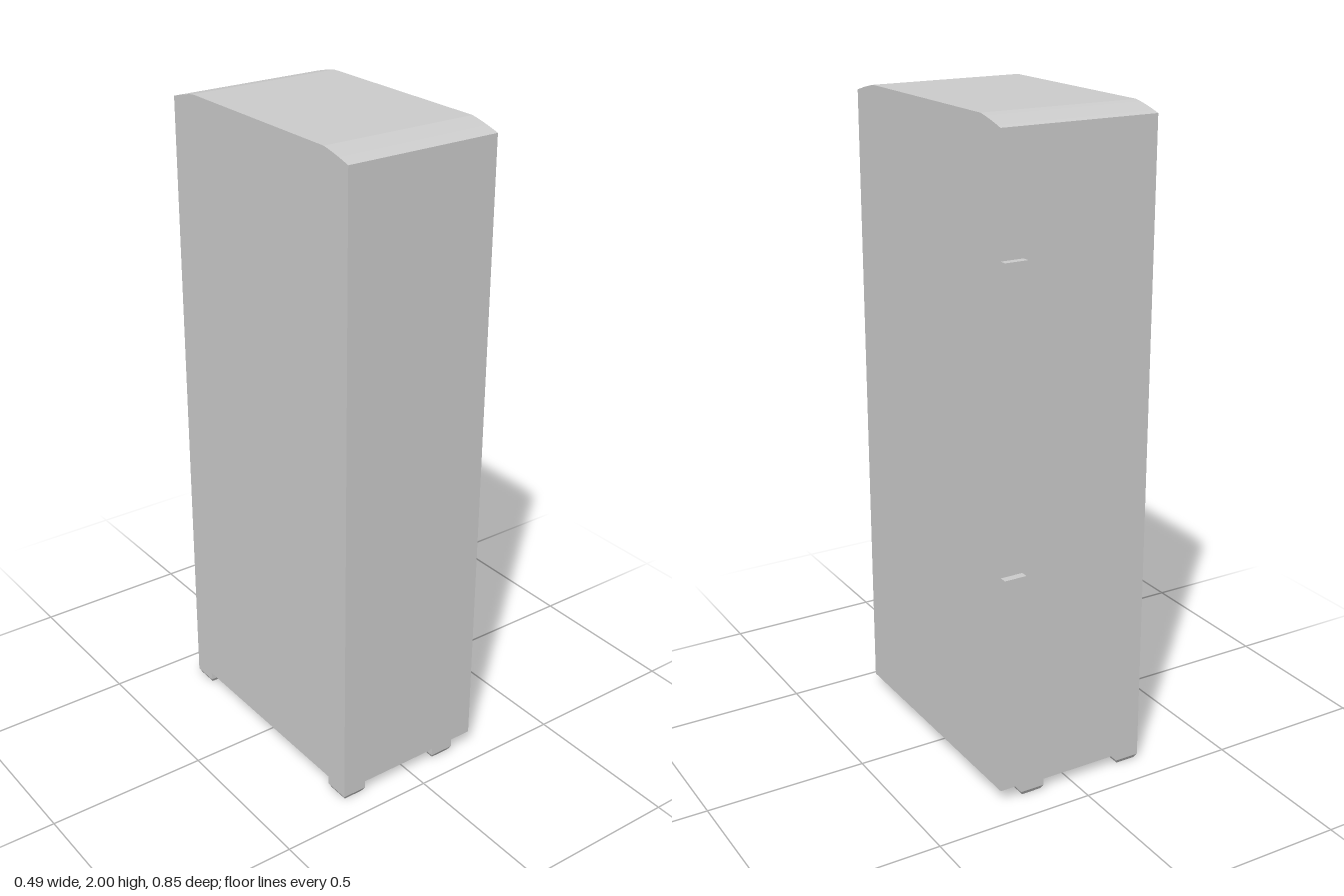
import * as THREE from 'three';
import { toCreasedNormals } from 'three/addons/utils/BufferGeometryUtils.js';

const material = new THREE.MeshStandardMaterial({ color: 0xcccccc });

const X0 = -0.245, X1 = 0.243;      // cabinet sides
const BACK = -0.402, FRONT = 0.423; // cabinet back and front
const BASE = 0.04;

function add(parent, name, geometry, x = 0, y = 0, z = 0) {
  const mesh = new THREE.Mesh(geometry, material);
  mesh.name = name;
  mesh.position.set(x, y, z);
  parent.add(mesh);
  return mesh;
}

// Side profile (z, y) with gently sloped top edges, extruded across the width
function cabinetGeometry() {
  const s = new THREE.Shape();
  s.moveTo(BACK, BASE);
  s.lineTo(FRONT, BASE);
  s.lineTo(FRONT, 1.975);
  s.quadraticCurveTo(0.37, 1.991, 0.32, 2);
  s.lineTo(-0.3, 2);
  s.quadraticCurveTo(-0.35, 1.991, BACK, 1.975);
  s.closePath();
  const g = new THREE.ExtrudeGeometry(s, { depth: X1 - X0, bevelEnabled: false, curveSegments: 8 });
  g.rotateY(-Math.PI / 2);
  g.translate(X1, 0, 0);
  return toCreasedNormals(g, 0.15);
}

// Square foot whose lower edge tapers inward
function footGeometry(width, depth) {
  const g = new THREE.BoxGeometry(width, BASE, depth, 1, 2, 1).toNonIndexed();
  const p = g.attributes.position;
  for (let i = 0; i < p.count; i++) {
    const y = p.getY(i) + BASE / 2;
    if (y < 0.001) p.setXYZ(i, p.getX(i) * 0.8, 0, p.getZ(i) * 0.8);
    else p.setY(i, y < 0.03 ? 0.014 : BASE);
  }
  g.computeVertexNormals();
  return g;
}

export function createModel() {
  const model = new THREE.Group();
  model.name = 'cabinet';
  add(model, 'body', cabinetGeometry());

  // Front and back base rails, each with a foot at both ends
  const footW = 0.078, footD = 0.08, railLeft = 0.173;
  for (const [side, z] of [['front', FRONT - footD / 2], ['back', BACK + footD / 2]]) {
    const rail = new THREE.Group();
    rail.name = side + 'BaseRail';
    rail.position.z = z;
    add(rail, 'crossBar', new THREE.BoxGeometry(railLeft - X0 - footW, 0.014, 0.06), (X0 + railLeft) / 2, 0.034, 0);
    add(rail, 'rightFoot', footGeometry(footW, footD), X0 + footW / 2);
    add(rail, 'leftFoot', footGeometry(footW, footD), railLeft - footW / 2);
    model.add(rail);
  }

  // Two hinge blocks on the back edge
  for (const [name, y] of [['upperHinge', 1.598], ['lowerHinge', 0.695]]) {
    add(model, name, new THREE.BoxGeometry(0.07, 0.066, 0.024), X1 - 0.035, y, BACK - 0.011);
  }
  return model;
}
